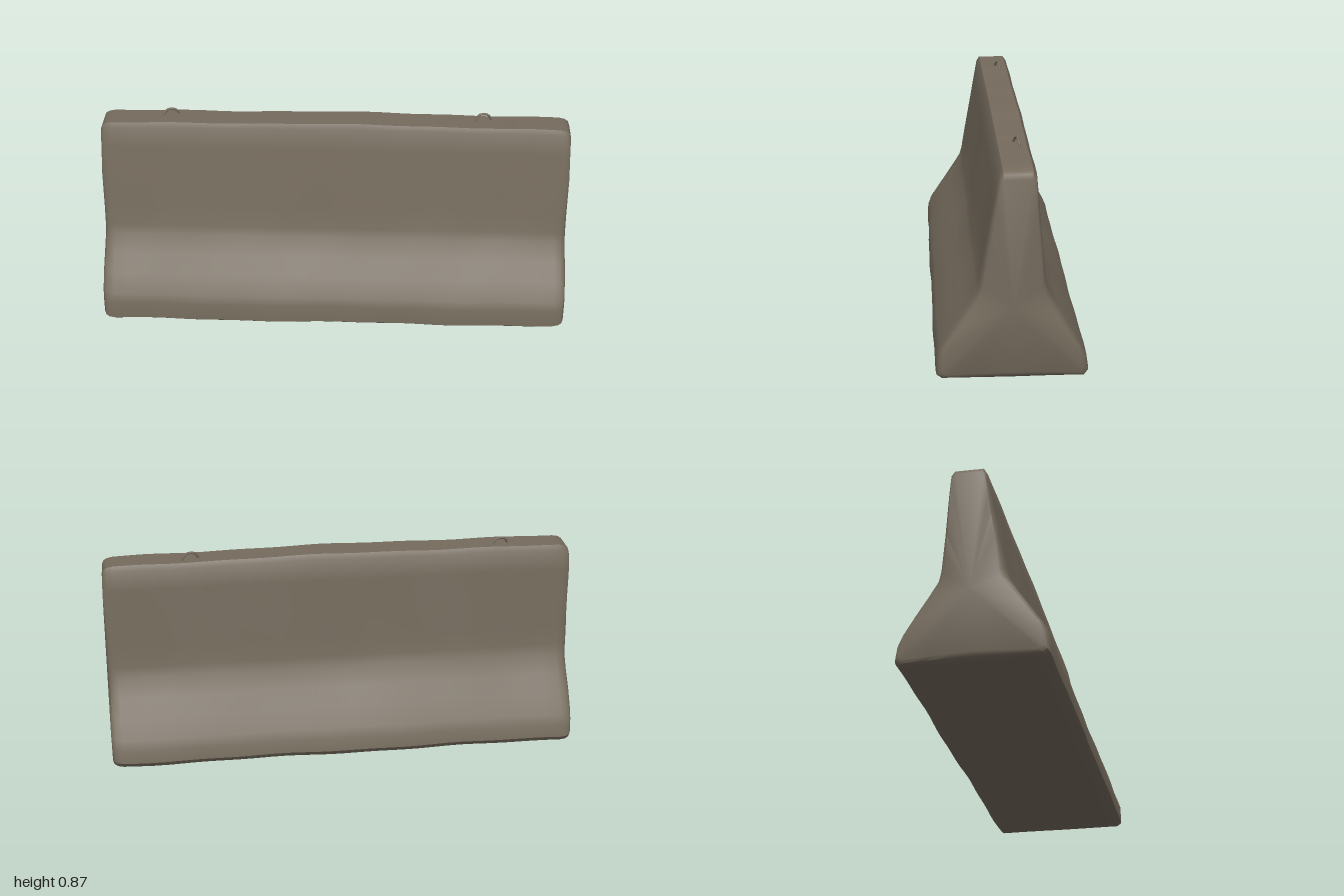
import * as THREE from 'three';
import { toCreasedNormals } from 'three/addons/utils/BufferGeometryUtils.js';

// cross-section of the barrier as [z, y], from the front foot over the top to the back foot
const PROFILE = [
  [0.278, 0.006], [0.297, 0.02], [0.294, 0.095], [0.282, 0.13], [0.14, 0.352], [0.128, 0.39],
  [0.05, 0.825], [0.038, 0.845], [-0.076, 0.845], [-0.09, 0.825], [-0.128, 0.40], [-0.138, 0.355],
  [-0.27, 0.125], [-0.288, 0.085], [-0.296, 0.03], [-0.28, 0.008],
];
const CENTRE = [-0.005, 0.3];

// split the long profile edges so the surface can undulate
function sectionPoints() {
  const pts = [];
  PROFILE.forEach((p, i) => {
    const q = PROFILE[(i + 1) % PROFILE.length];
    const n = Math.max(1, Math.round(Math.hypot(q[0] - p[0], q[1] - p[1]) / 0.09));
    for (let k = 0; k < n; k++) pts.push([p[0] + (q[0] - p[0]) * k / n, p[1] + (q[1] - p[1]) * k / n]);
  });
  return pts;
}

// gentle weathering of the cast surface
const wobble = (x, y, z) =>
  0.0025 * Math.sin(7 * x + 5 * y + 3 * z) + 0.0015 * Math.sin(17 * x - 11 * y + 9 * z);

function bodyGeometry() {
  // stations along x with the inset that rounds the ends
  const stations = [[-0.997, 0.03], [-0.99, 0.013], [-0.975, 0.004], [-0.95, 0]];
  for (let i = 1; i < 30; i++) stations.push([-0.95 + 1.9 * i / 30, 0]);
  stations.push([0.95, 0], [0.975, 0.004], [0.99, 0.013], [0.997, 0.03]);

  const section = sectionPoints();
  const n = section.length;
  const pos = [], index = [];
  for (const [x, inset] of stations) {
    for (const [z0, y0] of section) {
      const dz = z0 - CENTRE[0], dy = y0 - CENTRE[1];
      const s = 1 - (inset + wobble(x, y0, z0)) / Math.hypot(dz, dy);
      const crown = y0 > 0.8 ? 0.006 * (1 - 2 * x * x) : 0;
      const endLean = 0.004 * Math.sin(9 * y0 + 6 * z0) * Math.abs(x) ** 20;
      pos.push(x - Math.sign(x) * Math.abs(endLean), Math.max(0.002, CENTRE[1] + dy * s + crown), CENTRE[0] + dz * s);
    }
  }
  for (let j = 0; j < stations.length - 1; j++) {
    for (let i = 0; i < n; i++) {
      const a = j * n + i, b = j * n + (i + 1) % n;
      index.push(a, a + n, b, b, a + n, b + n);
    }
  }
  // end caps
  const last = (stations.length - 1) * n, c = pos.length / 3;
  pos.push(-1, CENTRE[1], CENTRE[0], 1, CENTRE[1], CENTRE[0]);
  for (let i = 0; i < n; i++) {
    const k = (i + 1) % n;
    index.push(c, i, k, c + 1, last + k, last + i);
  }
  const geo = new THREE.BufferGeometry();
  geo.setAttribute('position', new THREE.Float32BufferAttribute(pos, 3));
  geo.setIndex(index);
  return toCreasedNormals(geo, 0.7);
}

// bent lifting bar standing on the top face
function hookGeometry() {
  const curve = new THREE.CatmullRomCurve3([
    [-0.036, 0.825, -0.022], [-0.033, 0.848, -0.026], [-0.018, 0.868, -0.034], [0, 0.872, -0.038],
    [0.018, 0.868, -0.041], [0.033, 0.848, -0.046], [0.036, 0.825, -0.048],
  ].map((p) => new THREE.Vector3(...p)));
  return new THREE.TubeGeometry(curve, 20, 0.005, 8);
}

export function createModel() {
  const concrete = new THREE.MeshStandardMaterial({ color: 0x756b5d });
  concrete.name = 'concrete';

  const model = new THREE.Group();
  model.name = 'concreteBarrier';

  const body = new THREE.Mesh(bodyGeometry(), concrete);
  body.name = 'barrierBody';
  model.add(body);

  const hookGeo = hookGeometry();
  [['rightLiftingHook', -0.70], ['leftLiftingHook', 0.625]].forEach(([name, x]) => {
    const hook = new THREE.Mesh(hookGeo, concrete);
    hook.name = name;
    hook.position.x = x;
    model.add(hook);
  });
  return model;
}
